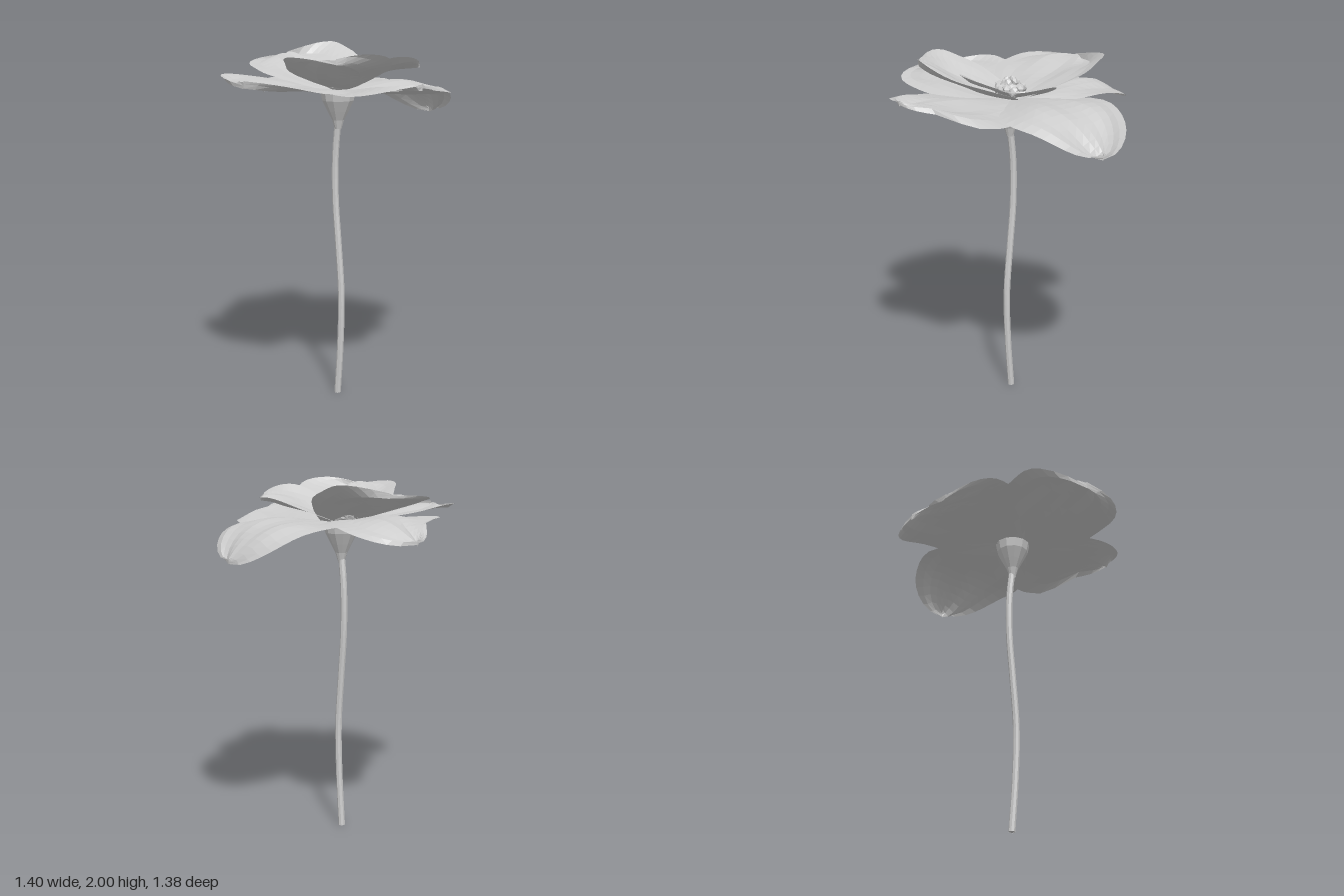
import * as THREE from 'three';

const skin = new THREE.MeshStandardMaterial({ color: 0xcccccc, flatShading: true, side: THREE.DoubleSide });
const CX = -0.035; // axis of stem and flower heart
const START = -0.03, BASE_Y = 1.76, PEAK = 0.6; // petal root, and where a petal is widest

// Share of full width at v (0 root, 1 tip); a higher power gives a blunter tip,
// a lobe range pinches the shoulder in between those two points
function widthAt(v, power, lobe) {
  if (v < PEAK) return 0.25 + 0.75 * Math.sin(Math.PI / 2 * v / PEAK);
  const t = (v - PEAK) / (1 - PEAK);
  const round = Math.sqrt(Math.max(0, 1 - t ** power));
  return lobe ? (round + 1 - THREE.MathUtils.smoothstep(t, ...lobe)) / 2 : round;
}

// Petal: the midrib is a parabola from root to tip plus a late droop, the two sides lift away from it
function petal({ name, angle, reach, sides, tip, blunt, lobe, rib, droop, lift, wave }, index) {
  const NU = 10, NV = 14;
  const geo = new THREE.PlaneGeometry(1, 1, NU, NV);
  const pos = geo.attributes.position;
  const [midY, tipY] = rib;
  const c = 2 * (tipY + BASE_Y) - 4 * midY, b = tipY - BASE_Y - c;
  const phase = index * 1.7;
  for (let j = 0; j <= NV; j++) {
    const v = 1 - (1 - j / NV) ** 1.6;
    for (let i = 0; i <= NU; i++) {
      const w = 2 * i / NU - 1;
      const k = w < 0 ? 0 : 1;
      const f = widthAt(v, blunt[k], k && lobe) * (1 + 0.02 * Math.sin(14 * v + phase + k));
      const edge = tip * v + (sides[k] - tip * v) * f;
      const x = THREE.MathUtils.lerp(tip * v, edge, Math.abs(w));
      const ripple = wave * v * (Math.sin(5 * w + 7 * v + phase) + 0.7 * Math.sin(9 * w - 4 * v + 2 * phase));
      const y = BASE_Y + b * v + c * v * v - droop * v ** 5 + lift[k] * w * w * f + ripple;
      pos.setXYZ(j * (NU + 1) + i, x, y, THREE.MathUtils.lerp(START, reach, v));
    }
  }
  geo.computeVertexNormals();
  const mesh = new THREE.Mesh(geo, skin);
  mesh.name = name;
  mesh.rotation.y = THREE.MathUtils.degToRad(angle);
  return mesh;
}

const petals = [
  { name: 'outerPetalLeft', angle: 90, reach: 0.7, sides: [-0.35, 0.35], tip: 0, blunt: [2, 2],
    rib: [1.81, 1.82], droop: 0.22, lift: [-0.04, -0.04], wave: 0.011 },
  { name: 'outerPetalRight', angle: -90, reach: 0.7, sides: [-0.345, 0.345], tip: 0, blunt: [4, 4],
    rib: [1.8, 1.84], droop: 0, lift: [0.04, 0], wave: 0.013 },
  { name: 'outerPetalBack', angle: 180, reach: 0.695, sides: [-0.33, 0.39], tip: 0, blunt: [3, 2], lobe: [0.05, 0.6],
    rib: [1.82, 1.82], droop: 0.11, lift: [-0.03, -0.01], wave: 0.012 },
  { name: 'outerPetalFront', angle: 0, reach: 0.69, sides: [-0.36, 0.35], tip: -0.1, blunt: [2.5, 2], lobe: [0.4, 0.7],
    rib: [1.8, 1.84], droop: 0, lift: [-0.01, -0.06], wave: 0.012 },
  { name: 'innerPetalBack', angle: 180, reach: 0.47, sides: [-0.32, 0.39], tip: 0, blunt: [4, 3],
    rib: [1.86, 1.94], droop: 0, lift: [0.07, 0], wave: 0.011 },
  { name: 'innerPetalRight', angle: -45, reach: 0.52, sides: [-0.3, 0.27], tip: -0.02, blunt: [4, 2],
    rib: [1.83, 1.96], droop: 0, lift: [0.07, 0.09], wave: 0.011 },
  { name: 'innerPetalLeft', angle: 45, reach: 0.42, sides: [-0.26, 0.24], tip: 0.02, blunt: [2.5, 2.5],
    rib: [1.85, 1.9], droop: 0, lift: [0.09, 0.02], wave: 0.009 },
];

export function createModel() {
  const group = new THREE.Group();
  const add = (name, geo, x = 0, y = 0, z = 0, parent = group) => {
    const mesh = new THREE.Mesh(geo, skin);
    mesh.name = name;
    mesh.position.set(x, y, z);
    parent.add(mesh);
    return mesh;
  };

  // Gently swaying stem
  const path = new THREE.CatmullRomCurve3(
    [[0, -0.012], [0.3, 0.012], [0.6, 0.02], [0.9, -0.005], [1.15, -0.028], [1.4, -0.028], [1.6, -0.005]]
      .map(([y, z]) => new THREE.Vector3(CX, y, z)));
  add('stem', new THREE.TubeGeometry(path, 24, 0.019, 8));
  add('stemFoot', new THREE.CircleGeometry(0.019, 8).rotateX(Math.PI / 2), CX, 0.001, -0.012);

  // Cup joining stem and petals
  const cup = [[0.019, 1.55], [0.034, 1.6], [0.06, 1.65], [0.09, 1.71], [0.1, 1.76], [0, 1.78]];
  add('receptacle', new THREE.LatheGeometry(cup.map(p => new THREE.Vector2(...p)), 12), CX, 0, -0.005);

  // Two layers of petals
  petals.forEach((spec, i) => group.add(petal(spec, i)));

  // Heart: squat dome covered in crumpled florets
  const heart = new THREE.Group();
  heart.name = 'heart';
  heart.position.set(CX, 1.81, -0.01);
  group.add(heart);
  add('heartDome', new THREE.IcosahedronGeometry(0.075, 1).scale(1, 0.75, 1), 0, 0, 0, heart);
  [[11, 0.07, 0.015], [6, 0.036, 0.045]].forEach(([count, r, y], ring) => {
    for (let i = 0; i < count; i++) {
      const a = (i + ring * 0.5) / count * Math.PI * 2;
      const floret = add('floret', new THREE.IcosahedronGeometry(0.024, 0).scale(1, 1.2, 0.8),
        r * Math.sin(a), y + 0.008 * Math.sin(i * 2.3), r * Math.cos(a), heart);
      floret.rotation.set(-0.5, a + 0.6 * Math.sin(i * 1.9), 0.5, 'YXZ');
    }
  });
  return group;
}
